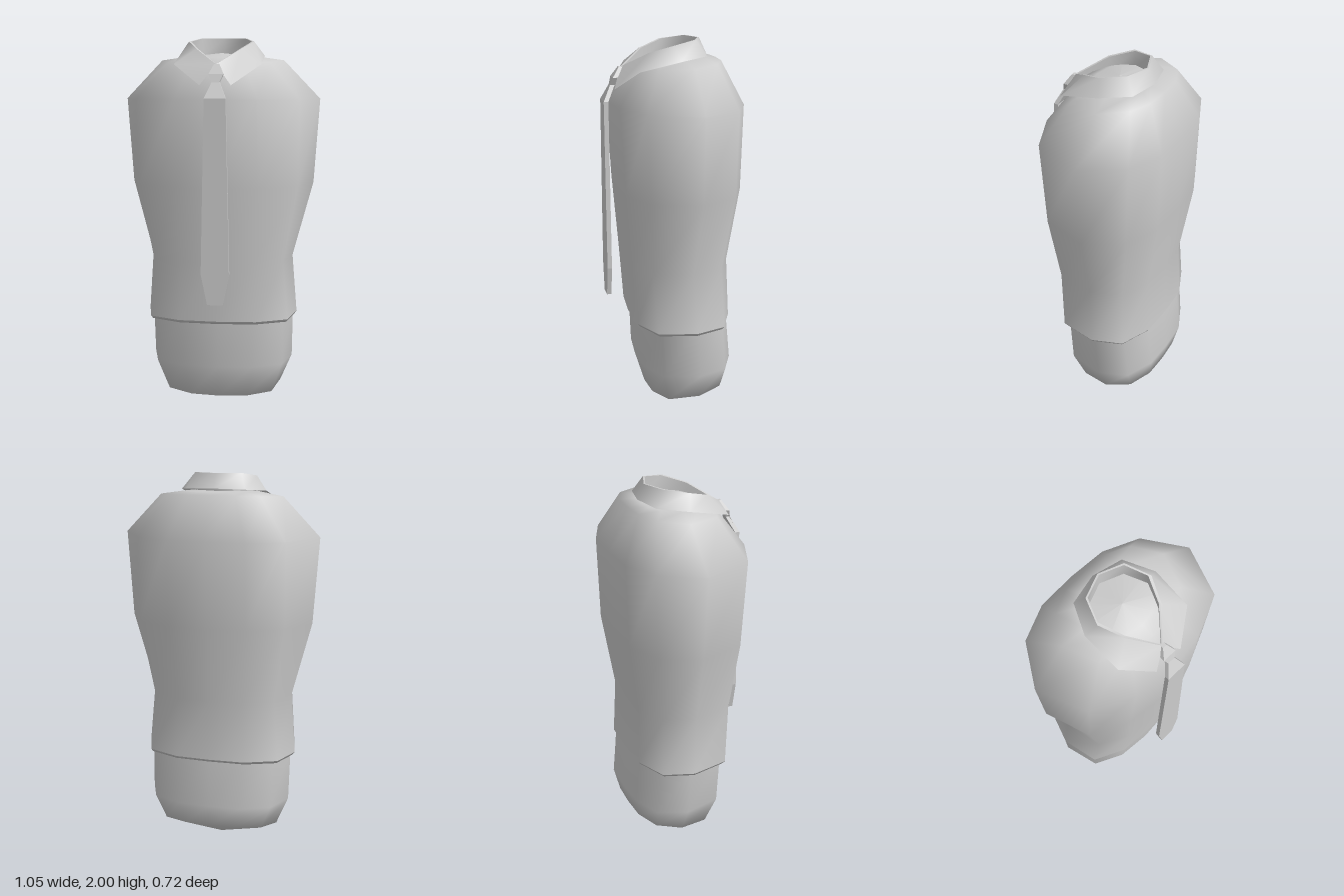
import * as THREE from 'three';

const grey = new THREE.MeshStandardMaterial({ color: 0xcccccc });
const greyDouble = new THREE.MeshStandardMaterial({ color: 0xcccccc, side: THREE.DoubleSide });

// Skin a list of equal-length point rows (bottom to top)
function loft(name, rows, closed, material) {
  const n = rows[0].length, index = [];
  for (let i = 0; i < rows.length - 1; i++) {
    for (let j = 0; j < (closed ? n : n - 1); j++) {
      const k = (j + 1) % n;
      const a = i * n + j, b = i * n + k, c = b + n, d = a + n;
      index.push(a, b, c, a, c, d);
    }
  }
  const g = new THREE.BufferGeometry();
  g.setAttribute('position', new THREE.Float32BufferAttribute(rows.flat(2), 3));
  g.setIndex(index);
  g.computeVertexNormals();
  const mesh = new THREE.Mesh(g, material);
  mesh.name = name;
  return mesh;
}

// Mirror a half outline: first and last points lie on the centre line
const mirrorRing = half => [...half, ...half.slice(1, -1).reverse().map(([x, z]) => [-x, z])];

// Unit plan outlines, from front centre round the left side to the back
const chestPlan = mirrorRing([[0, 1], [0.4, 0.9], [0.81, 0.63], [1, -0.13], [0.74, -0.74], [0.39, -0.97], [0, -1]]);
const waistPlan = mirrorRing([[0, 1], [0.5, 0.95], [0.9, 0.65], [1, -0.1], [0.86, -0.7], [0.45, -0.97], [0, -1]]);

// One cross-section: height, half width, front z, back z, forward tilt, plan blend
function ring(y, hw, zf, zb, tilt = 0, blend = 0) {
  const mid = (zf + zb) / 2, half = (zf - zb) / 2;
  return chestPlan.map(([x, z], i) => {
    const u = x + (waistPlan[i][0] - x) * blend, w = z + (waistPlan[i][1] - z) * blend;
    return [u * hw, y + tilt * w, mid + w * half];
  });
}

export function createModel() {
  const model = new THREE.Group();
  model.name = 'shirtTorso';

  // Shirt body, closed over at the neck
  model.add(loft('shirt', [
    ring(0.51, 0.412, 0.235, -0.297, 0, 1),
    ring(0.83, 0.387, 0.263, -0.285, 0, 0.9),
    ring(1.23, 0.495, 0.303, -0.345, 0, 0.4),
    ring(1.68, 0.525, 0.337, -0.357, 0.005),
    ring(1.88, 0.33, 0.2, -0.25, -0.015),
    ring(1.9, 0.2, 0.13, -0.17, -0.005),
    ring(1.92, 0, 0, 0),
  ], true, grey));

  // Turned-under hem
  model.add(loft('shirtHem', [
    ring(0.5, 0.34, 0.17, -0.24, 0, 1),
    ring(0.495, 0.402, 0.225, -0.287, 0, 1),
    ring(0.51, 0.412, 0.235, -0.297, 0, 1),
  ], true, greyDouble));

  // Rounded lower body
  model.add(loft('hips', [
    ring(0, 0, -0.055, -0.055),
    ring(0.1, 0.325, 0.145, -0.285, -0.03, 0.7),
    ring(0.25, 0.387, 0.2, -0.312, 0, 0.8),
    ring(0.53, 0.392, 0.21, -0.285, 0, 0.8),
  ], true, grey));

  // Folded collar: fold line and lower edge, from front point to back centre
  const fold = [[0, 1.86, 0.25], [0.11, 1.94, 0.125], [0.162, 1.98, 0.005], [0.115, 2, -0.105], [0, 2, -0.15]];
  const edge = [[0.08, 1.755, 0.305], [0.226, 1.86, 0.2], [0.23, 1.905, -0.01], [0.156, 1.92, -0.16], [0, 1.925, -0.195]];
  const mirrorPath = half => [...half, ...half.slice(0, -1).reverse().map(([x, y, z]) => [-x, y, z])];
  const inner = mirrorPath(fold), leafEdge = mirrorPath(edge);
  const outer = inner.map(([x, y, z]) => [x * 1.07, y, z < 0 ? z * 1.06 : z + 0.01]);
  const foot = inner.map(([x, y, z]) => [x, y - (z > 0.2 ? 0.02 : 0.09), z]);
  const collar = new THREE.Group();
  collar.name = 'collar';
  collar.add(
    loft('collarLeaf', [leafEdge, outer], false, greyDouble),
    loft('collarFold', [outer, inner], false, greyDouble),
    loft('collarStand', [inner, foot], false, greyDouble),
  );
  model.add(collar);

  // Necktie: knot flaring into a long straight blade (height, half width, front z)
  const profile = [[0.63, 0.04, 0.358], [0.79, 0.073, 0.358], [1.69, 0.055, 0.358],
    [1.77, 0.02, 0.318], [1.81, 0.038, 0.305], [1.862, 0.012, 0.27]];
  const section = ([y, w, z], s = 1) => [[-w, z - 0.024], [-w, z], [w, z], [w, z - 0.024]]
    .map(([x, d]) => [0.004 + x * s, y, z - 0.012 + (d - z + 0.012) * s]);
  const tieRows = [section(profile[0], 0), ...profile.map(p => section(p)), section(profile.at(-1), 0)];
  const tieMaterial = grey.clone();
  tieMaterial.flatShading = true;
  model.add(loft('necktie', tieRows, true, tieMaterial));

  return model;
}
